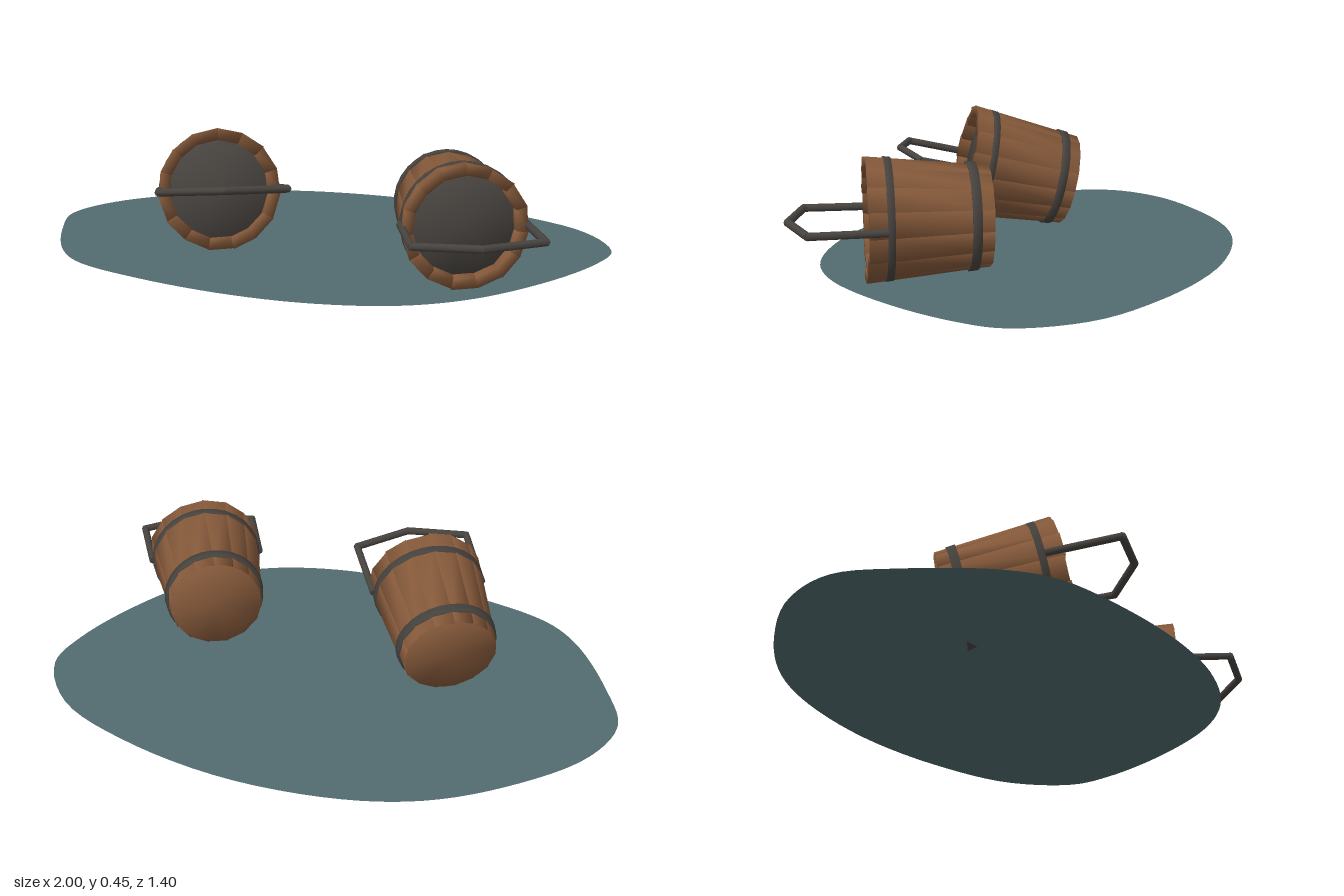
import * as THREE from 'three';
import { mergeVertices } from 'three/addons/utils/BufferGeometryUtils.js';

const LENGTH = 0.4, BASE_R = 0.165, MOUTH_R = 0.205, STAVES = 15;
const radiusAt = y => BASE_R + (MOUTH_R - BASE_R) * y / LENGTH;

function seeded(seed) {
  return () => (seed = (seed * 16807) % 2147483647) / 2147483647;
}

function add(parent, name, geometry, material) {
  const mesh = new THREE.Mesh(geometry, material);
  mesh.name = name;
  parent.add(mesh);
  return mesh;
}

// Tapered plank bent to the bucket wall, with shared soft corners
function staveGeometry(angle, roll, height) {
  let g = new THREE.BoxGeometry(1, 1, 1);
  g.deleteAttribute('normal');
  g.deleteAttribute('uv');
  g = mergeVertices(g);
  const p = g.attributes.position;
  for (let i = 0; i < p.count; i++) {
    const y = p.getY(i) > 0 ? height : 0;
    const t = angle + p.getX(i) * 2 * Math.PI / STAVES;
    const r = radiusAt(y) + p.getX(i) * roll - (p.getZ(i) < 0 ? 0.036 : 0);
    p.setXYZ(i, r * Math.sin(t), y, r * Math.cos(t));
  }
  g.computeVertexNormals();
  return g;
}

// Flat disc with normals leaning outwards at the edge for a soft look
function discGeometry(radius) {
  const g = new THREE.CircleGeometry(radius, 32);
  const p = g.attributes.position, n = g.attributes.normal;
  const v = new THREE.Vector3();
  for (let i = 0; i < p.count; i++) {
    v.set(p.getX(i) / radius * 0.7, p.getY(i) / radius * 0.7, 1).normalize();
    n.setXYZ(i, v.x, v.y, v.z);
  }
  return g;
}

// Closed metal band around the staves
function hoopGeometry(y, width, rise) {
  const lo = y - width / 2, hi = y + width / 2;
  const a = radiusAt(lo), b = radiusAt(hi);
  const profile = [[a - 0.012, lo], [a + rise, lo], [b + rise, hi], [b - 0.012, hi], [a - 0.012, lo]];
  return new THREE.LatheGeometry(profile.map(q => new THREE.Vector2(...q)), 30);
}

function rod(parent, from, to, radius, material) {
  const dir = to.clone().sub(from);
  const mesh = add(parent, 'handleBar', new THREE.CylinderGeometry(radius, radius, dir.length() + 0.008, 8), material);
  mesh.position.copy(from).add(to).multiplyScalar(0.5);
  mesh.quaternion.setFromUnitVectors(new THREE.Vector3(0, 1, 0), dir.normalize());
}

function createBucket(name, seed, base, mouth, mats) {
  const bucket = new THREE.Group();
  bucket.name = name;
  const random = seeded(seed);

  for (let i = 0; i < STAVES; i++) {
    const g = staveGeometry(i * 2 * Math.PI / STAVES, (random() - 0.5) * 0.008, LENGTH - random() * 0.008);
    add(bucket, 'stave', g, mats.wood);
  }

  const bottom = add(bucket, 'bottomBoard', discGeometry(0.16), mats.wood);
  bottom.rotation.x = Math.PI / 2;
  bottom.position.y = -0.002;
  const inside = add(bucket, 'darkInside', discGeometry(0.172), mats.iron);
  inside.rotation.x = -Math.PI / 2;
  inside.position.y = LENGTH - 0.04;

  add(bucket, 'lowerHoop', hoopGeometry(0.056, 0.03, 0.006), mats.iron);
  add(bucket, 'upperHoop', hoopGeometry(0.325, 0.024, 0.002), mats.iron);

  // Bent bail standing straight out from the mouth
  const handle = new THREE.Group();
  handle.name = 'handle';
  const bends = [[-0.2, -0.06], [-0.205, 0.187], [0.005, 0.24], [0.21, 0.182], [0.2, -0.06]]
    .map(([x, y]) => new THREE.Vector3(x, LENGTH + y, 0));
  for (let i = 0; i < bends.length - 1; i++) rod(handle, bends[i], bends[i + 1], 0.013, mats.iron);
  bucket.add(handle);

  // Lay the bucket down along its axis with the handle level
  const axis = new THREE.Vector3(...mouth).sub(new THREE.Vector3(...base)).normalize();
  const side = new THREE.Vector3(axis.z, 0, -axis.x).normalize();
  const down = new THREE.Vector3().crossVectors(side, axis);
  bucket.quaternion.setFromRotationMatrix(new THREE.Matrix4().makeBasis(side, axis, down));
  bucket.position.set(...base);
  return bucket;
}

export function createModel() {
  const material = (name, color, side = THREE.FrontSide) => {
    const m = new THREE.MeshStandardMaterial({ color, side });
    m.name = name;
    return m;
  };
  const mats = {
    wood: material('brownWood', 0x85593a),
    iron: material('darkIron', 0x47433f),
    water: material('tealWater', 0x526b6f, THREE.DoubleSide),
  };
  const model = new THREE.Group();
  model.name = 'bucketsOnPuddle';

  // Puddle outline as x, z points
  const outline = [[-1, -0.18], [-0.9, -0.37], [-0.66, -0.55], [-0.4, -0.665], [-0.13, -0.7], [0.25, -0.655],
    [0.62, -0.515], [0.89, -0.33], [1, -0.1], [0.955, 0.07], [0.8, 0.32], [0.59, 0.54], [0.38, 0.65],
    [0.11, 0.685], [-0.18, 0.65], [-0.5, 0.55], [-0.74, 0.43], [-0.85, 0.3], [-0.96, 0.03]];
  const curve = new THREE.CatmullRomCurve3(outline.map(([x, z]) => new THREE.Vector3(x, -z, 0)), true);
  const shape = new THREE.Shape(curve.getPoints(100).slice(0, -1).map(p => new THREE.Vector2(p.x, p.y)));
  const puddle = add(model, 'puddle', new THREE.ShapeGeometry(shape), mats.water);
  puddle.rotation.x = -Math.PI / 2;
  puddle.position.y = 0.003;

  model.add(createBucket('rightBucket', 11, [-0.415, 0.161, -0.07], [-0.28, 0.251, 0.307], mats));
  model.add(createBucket('leftBucket', 47, [0.435, 0.205, 0.063], [0.563, 0.205, 0.44], mats));
  return model;
}
